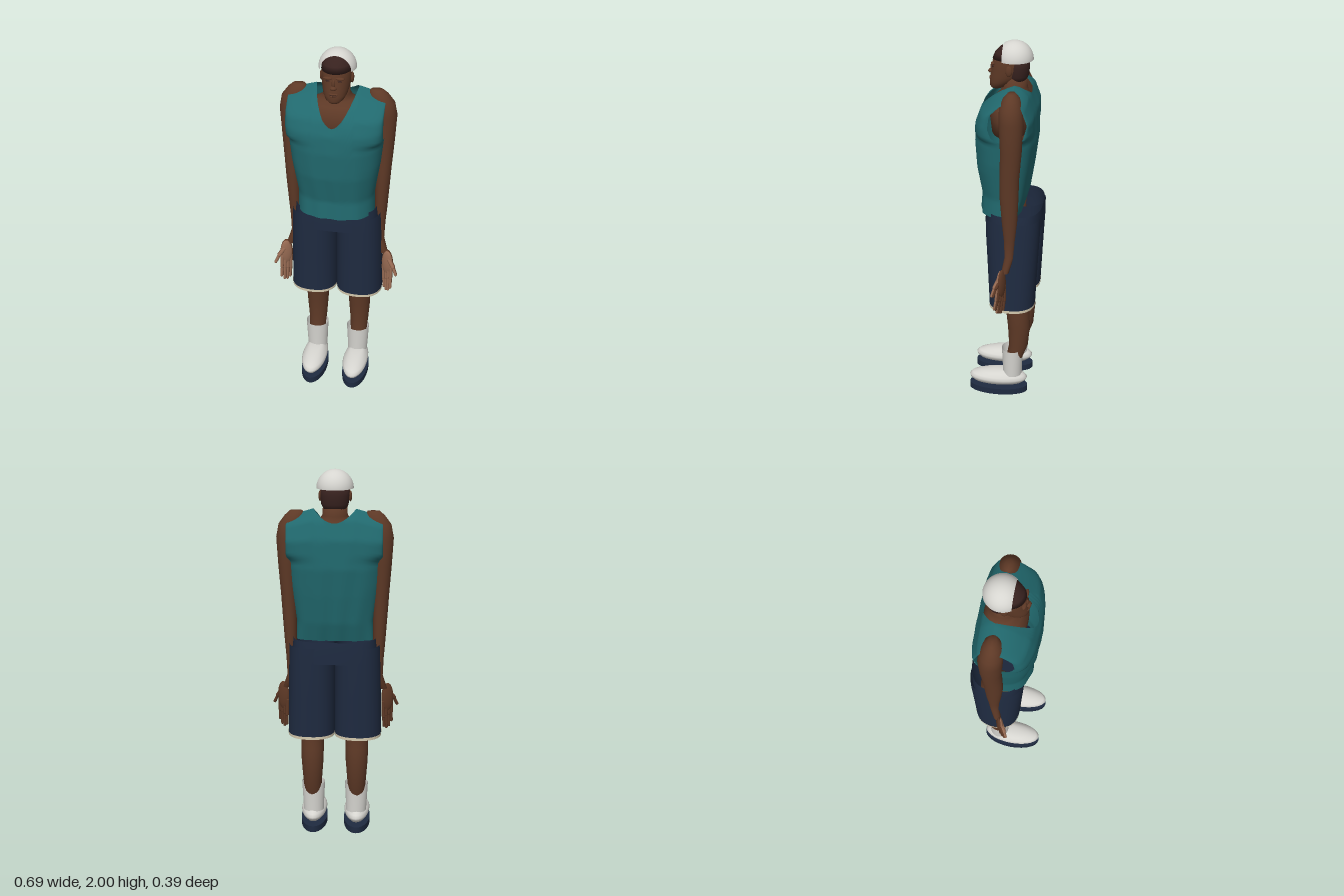
import * as THREE from 'three';

const material = (name, color) => {
  const m = new THREE.MeshStandardMaterial({ color, side: THREE.DoubleSide });
  m.name = name;
  return m;
};

// Linear interpolation in a short table of [key, value] pairs
function at(table, k) {
  if (k <= table[0][0]) return table[0][1];
  for (let i = 1; i < table.length; i++) {
    const [k0, v0] = table[i - 1], [k1, v1] = table[i];
    if (k <= k1) return v0 + (v1 - v0) * (k - k0) / (k1 - k0);
  }
  return table[table.length - 1][1];
}

function indexed(pos, idx) {
  const g = new THREE.BufferGeometry();
  g.setAttribute('position', new THREE.Float32BufferAttribute(pos, 3));
  g.setIndex(idx);
  g.computeVertexNormals();
  return g;
}

// Skin over stacked rings, each [y, centreX, centreZ, radiusX, radiusZ], bottom to top
function loft(rows, { p = 2, n = 28, caps = true } = {}) {
  const pos = [], idx = [];
  const round = v => Math.sign(v) * Math.pow(Math.abs(v), 2 / p);
  for (const [y, cx, cz, rx, rz] of rows)
    for (let i = 0; i < n; i++) {
      const a = i / n * Math.PI * 2;
      pos.push(cx + rx * round(Math.sin(a)), y, cz + rz * round(Math.cos(a)));
    }
  for (let j = 0; j < rows.length - 1; j++)
    for (let i = 0; i < n; i++) {
      const a = j * n + i, b = j * n + (i + 1) % n;
      idx.push(a, b, b + n, a, b + n, a + n);
    }
  if (caps) {
    const last = rows.length - 1, c = pos.length / 3;
    for (const j of [0, last]) pos.push(rows[j][1], rows[j][0], rows[j][2]);
    for (let i = 0; i < n; i++) {
      const k = (i + 1) % n;
      idx.push(c, k, i, c + 1, last * n + i, last * n + k);
    }
  }
  return indexed(pos, idx);
}

// Half of the sleeveless top: side = 1 front, -1 back
function jerseyPanel(side) {
  const width = [[1.1, .205], [1.2, .202], [1.4, .235], [1.55, .25]];
  const depth = side > 0
    ? [[1.1, .135], [1.2, .128], [1.35, .155], [1.5, .163], [1.6, .155], [1.68, .125], [1.74, .06], [1.78, 0], [1.8, -.05]]
    : [[1.1, -.085], [1.2, -.115], [1.35, -.14], [1.5, -.16], [1.65, -.155], [1.75, -.12], [1.79, -.075], [1.8, -.05]];
  const edge = side > 0
    ? [[1.53, -.03], [1.56, .05], [1.62, .07], [1.7, .06], [1.76, .01], [1.8, -.05]]
    : [[1.53, -.03], [1.57, -.11], [1.65, -.13], [1.75, -.1], [1.8, -.05]];
  const neck = side > 0 ? 1.64 : 1.735, N = 48, M = 44, pos = [], idx = [];
  for (let j = 0; j <= M; j++)
    for (let i = 0; i <= N; i++) {
      const s = Math.sin((i / N - .5) * Math.PI), x0 = Math.abs(s) * .25;
      const shoulder = 1.8 - .04 * Math.max(0, (x0 - .11) / .14);
      const top = x0 < .11 ? neck + (1.8 - neck) * Math.pow(x0 / .11, 1.8) : shoulder;
      const y = 1.1 + (top - 1.1) * j / M;
      const h = y + (1.8 - shoulder) * Math.pow(j / M, 6);
      const bulge = Math.pow(Math.max(0, 1 - Math.pow(Math.abs(s), 2.6)), 1 / 2.6);
      const z = at(edge, h) + (at(depth, h) - at(edge, h)) * bulge;
      const fold = .003 * Math.sin(s * 13 + y * 5) * bulge * (1.8 - y) / .7;
      pos.push(s * at(width, y), y, z + fold);
    }
  for (let j = 0; j < M; j++)
    for (let i = 0; i < N; i++) {
      const a = j * (N + 1) + i, b = a + 1, c = a + N + 1, d = c + 1;
      if (side > 0) idx.push(a, b, d, a, d, c);
      else idx.push(a, d, b, a, c, d);
    }
  return indexed(pos, idx);
}

export function createModel() {
  const skin = material('skin', 0x5e3926), palm = material('palm', 0x966a52);
  const hair = material('hair', 0x38221f), teal = material('jersey teal', 0x21696e);
  const navy = material('navy', 0x1f2b41), white = material('white', 0xd6d5d0);
  const cream = material('cream', 0xd9ceb2);
  const model = new THREE.Group();
  const add = (name, geo, mat, parent = model) => {
    const m = new THREE.Mesh(geo, mat);
    m.name = name;
    parent.add(m);
    return m;
  };
  const ball = (name, mat, [x, y, z], [sx, sy, sz], parent = model) => {
    const m = add(name, new THREE.SphereGeometry(1, 16, 12), mat, parent);
    m.position.set(x, y, z);
    m.scale.set(sx, sy, sz);
    return m;
  };
  const rod = (name, mat, from, to, r, parent) => {
    const a = new THREE.Vector3(...from), b = new THREE.Vector3(...to), d = b.clone().sub(a);
    const m = add(name, new THREE.CapsuleGeometry(r, d.length(), 4, 10), mat, parent);
    m.position.copy(a).add(b).multiplyScalar(.5);
    m.quaternion.setFromUnitVectors(new THREE.Vector3(0, 1, 0), d.normalize());
  };

  // Head and face
  add('head', loft([[1.752, 0, .058, .026, .026], [1.766, 0, .045, .046, .048], [1.79, 0, .028, .06, .064],
    [1.82, 0, .004, .069, .086], [1.86, 0, -.012, .075, .093], [1.9, 0, -.016, .077, .092],
    [1.94, 0, -.02, .07, .08], [1.97, 0, -.026, .05, .055], [1.982, 0, -.03, .02, .02]]), skin);
  add('hairTop', loft([[1.908, 0, -.016, .078, .094], [1.94, 0, -.02, .074, .085],
    [1.968, 0, -.026, .056, .064], [1.984, 0, -.03, .03, .03]]), hair);
  add('hairBack', loft([[1.8, 0, -.05, .058, .045], [1.825, 0, -.05, .071, .058],
    [1.87, 0, -.05, .074, .062], [1.915, 0, -.05, .074, .06]]), hair);
  ball('noseBridge', skin, [0, 1.858, .08], [.009, .024, .01]);
  ball('noseTip', skin, [0, 1.838, .088], [.017, .011, .014]);
  ball('upperLip', skin, [0, 1.806, .084], [.025, .006, .012]);
  ball('lowerLip', skin, [0, 1.794, .082], [.022, .007, .012]);
  ball('mouthLine', hair, [0, 1.8, .088], [.02, .0015, .006]);
  for (const s of [-1, 1]) {
    ball('ear', skin, [s * .078, 1.86, -.015], [.009, .028, .017]);
    ball('browRidge', skin, [s * .03, 1.886, .072], [.024, .007, .011]);
    ball('eye', hair, [s * .03, 1.871, .073], [.012, .004, .005]);
  }

  // Domed cap, open at the forehead
  const capGeo = new THREE.SphereGeometry(.096, 40, 28, Math.PI, Math.PI, .952, Math.PI - .952);
  capGeo.rotateX(Math.PI / 2);
  add('cap', capGeo, white).position.set(0, 1.904, -.034);

  // Neck and chest
  add('chest', loft([[1.54, 0, -.02, .19, .1], [1.62, 0, -.02, .2, .11], [1.68, 0, -.02, .19, .108],
    [1.715, 0, -.03, .14, .09], [1.738, 0, -.035, .085, .072], [1.765, 0, -.035, .066, .066],
    [1.82, 0, -.035, .062, .062]]), skin);

  // Jersey
  add('jerseyFront', jerseyPanel(1), teal);
  add('jerseyBack', jerseyPanel(-1), teal);

  // Waistband
  add('waistband', loft([[1, 0, -.045, .225, .147], [1.06, 0, -.045, .225, .148], [1.12, 0, -.045, .218, .146]],
    { p: 3, n: 48, caps: false }), navy);

  for (const s of [-1, 1]) {
    const side = new THREE.Group();
    side.name = s > 0 ? 'leftLimbs' : 'rightLimbs';
    model.add(side);
    const mirror = rows => rows.map(([y, x, ...rest]) => [y, s * x, ...rest]);

    // Arm from wrist to shoulder
    add('arm', loft(mirror([[.82, .262, -.022, .02, .02], [.9, .238, -.04, .019, .024], [1, .236, -.042, .025, .03],
      [1.1, .236, -.042, .033, .04], [1.25, .24, -.04, .039, .049], [1.35, .243, -.042, .042, .05],
      [1.5, .246, -.05, .05, .055], [1.65, .243, -.05, .062, .062], [1.72, .228, -.046, .064, .058],
      [1.765, .205, -.046, .054, .042], [1.789, .2, -.046, .032, .02]])), skin, side);

    // Hand: dark back and lighter palm just in front of it
    for (const [layer, mat, dz, k] of [['Back', skin, -.003, 1], ['Palm', palm, .004, .94]]) {
      const hand = new THREE.Group();
      hand.name = 'hand' + layer;
      hand.position.z = dz;
      side.add(hand);
      ball('palm' + layer, mat, [s * .283, .765, -.004], [.035 * k, .08 * k, .016 * k], hand).rotation.y = -s * .4;
      for (let f = 0; f < 4; f++) {
        const t = f / 3 - .5, mid = [s * (.285 + t * .042), .665 + t * .02, t * .03];
        const tip = [s * (.287 + t * .04), .59 + t * t * .08 + t * .02, .008 + t * .035];
        rod('knuckle' + layer, mat, [s * (.283 + t * .045), .74, -.004 + t * .024], mid, .0095 * k, hand);
        rod('finger' + layer, mat, mid, tip, .008 * k, hand);
      }
      rod('thumbBase' + layer, mat, [s * .29, .795, .002], [s * .318, .755, .022], .012 * k, hand);
      rod('thumb' + layer, mat, [s * .318, .755, .022], [s * .336, .715, .034], .0085 * k, hand);
    }

    // Shorts leg with trimmed hem
    add('shortsLeg', loft(mirror([[.58, .126, -.043, .126, .123], [.8, .124, -.044, .124, .133],
      [1, .122, -.045, .122, .143], [1.085, .121, -.045, .12, .144]]), { p: 2.4, n: 40, caps: false }), navy, side);
    add('hemTrim', loft(mirror([[.567, .126, -.043, .127, .124], [.583, .126, -.043, .128, .125]]),
      { p: 2.4, n: 40, caps: false }), cream, side);

    // Leg, sock, shoe and sole
    add('leg', loft(mirror([[.15, .121, -.045, .042, .042], [.22, .121, -.055, .045, .045],
      [.3, .121, -.077, .051, .052], [.42, .121, -.079, .06, .061], [.5, .121, -.073, .062, .063],
      [.58, .121, -.063, .06, .062], [.7, .121, -.055, .072, .075], [.95, .12, -.05, .085, .088]])), skin, side);
    add('sock', loft(mirror([[.11, .118, -.043, .056, .053], [.18, .119, -.043, .059, .055],
      [.275, .119, -.043, .064, .059]]), { caps: false }), white, side);
    add('shoe', loft(mirror([[.04, .12, .04, .03, .1], [.052, .12, .04, .052, .138], [.07, .12, .038, .067, .158],
      [.085, .12, .037, .071, .163], [.1, .12, .035, .065, .15], [.117, .12, .02, .05, .115],
      [.13, .12, -.005, .034, .07]])), white, side);
    const sole = add('sole', new THREE.CylinderGeometry(1, 1, .035, 28), navy, side);
    sole.scale.set(.073, 1, .164);
    sole.position.set(s * .12, .0175, .036);
  }
  return model;
}
